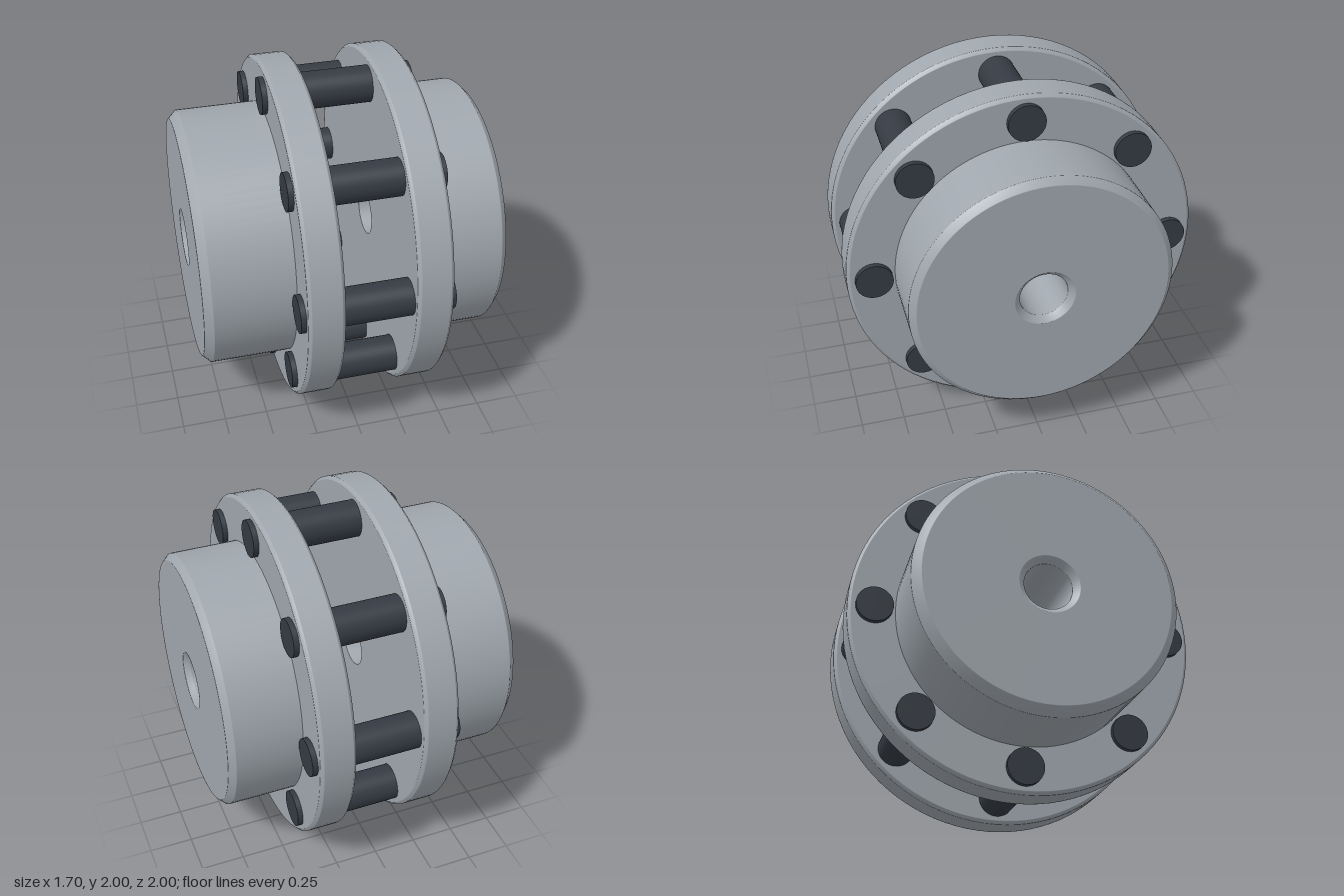
import * as THREE from 'three';

const steel = new THREE.MeshStandardMaterial({ name: 'brushed steel', color: 0xa0a7ae });
const dark = new THREE.MeshStandardMaterial({ name: 'dark pin steel', color: 0x353b43 });

const BORE = 0.135;

// Ring turned about the x axis from x0 to x1; each corner is bevelled by
// [inner start, outer start, outer end, inner end], with close support points
// so that only the bevels are softly shaded.
function turnedRing(name, rIn, rOut, x0, x1, bevels) {
  const corners = [[rIn, x0], [rOut, x0], [rOut, x1], [rIn, x1]];
  const along = [[1, 0], [0, 1], [-1, 0], [0, -1]];
  const points = [];
  corners.forEach(([r, x], i) => {
    const before = along[(i + 3) % 4], after = along[i], b = bevels[i];
    const add = (dir, d) => points.push(new THREE.Vector2(r + dir[0] * d, x + dir[1] * d));
    add(before, -b - 0.004);
    add(before, -b);
    add(after, b);
    add(after, b + 0.004);
  });
  points.push(points[0].clone());
  const mesh = new THREE.Mesh(new THREE.LatheGeometry(points, 96), steel);
  mesh.name = name;
  mesh.rotation.z = -Math.PI / 2;
  return mesh;
}

export function createModel() {
  const group = new THREE.Group();
  group.name = 'pinCoupling';
  const body = new THREE.Group();
  body.name = 'couplingBody';
  body.position.y = 1;
  group.add(body);

  // Two bored hubs, each with a wide flange
  body.add(
    turnedRing('rightHub', BORE, 0.735, -0.85, -0.16, [0.032, 0.046, 0.001, 0.001]),
    turnedRing('rightFlange', BORE, 1, -0.35, -0.15, [0.001, 0.016, 0.016, 0.001]),
    turnedRing('leftFlange', BORE, 1, 0.24, 0.44, [0.001, 0.016, 0.016, 0.001]),
    turnedRing('leftHub', BORE, 0.735, 0.25, 0.85, [0.001, 0.001, 0.034, 0.032])
  );

  // Eight pins running through both flanges
  const pinGeometry = new THREE.CylinderGeometry(0.104, 0.104, 0.85, 48);
  pinGeometry.rotateZ(Math.PI / 2);
  for (let i = 0; i < 8; i++) {
    const a = (i * Math.PI) / 4;
    const pin = new THREE.Mesh(pinGeometry, dark);
    pin.name = 'pin' + (i + 1);
    pin.position.set(0.045, 0.853 * Math.cos(a), 0.853 * Math.sin(a));
    body.add(pin);
  }

  // Tiny bead on the shaft axis
  const bead = new THREE.Mesh(new THREE.SphereGeometry(0.014, 16, 12), steel);
  bead.name = 'axisBead';
  body.add(bead);

  return group;
}
